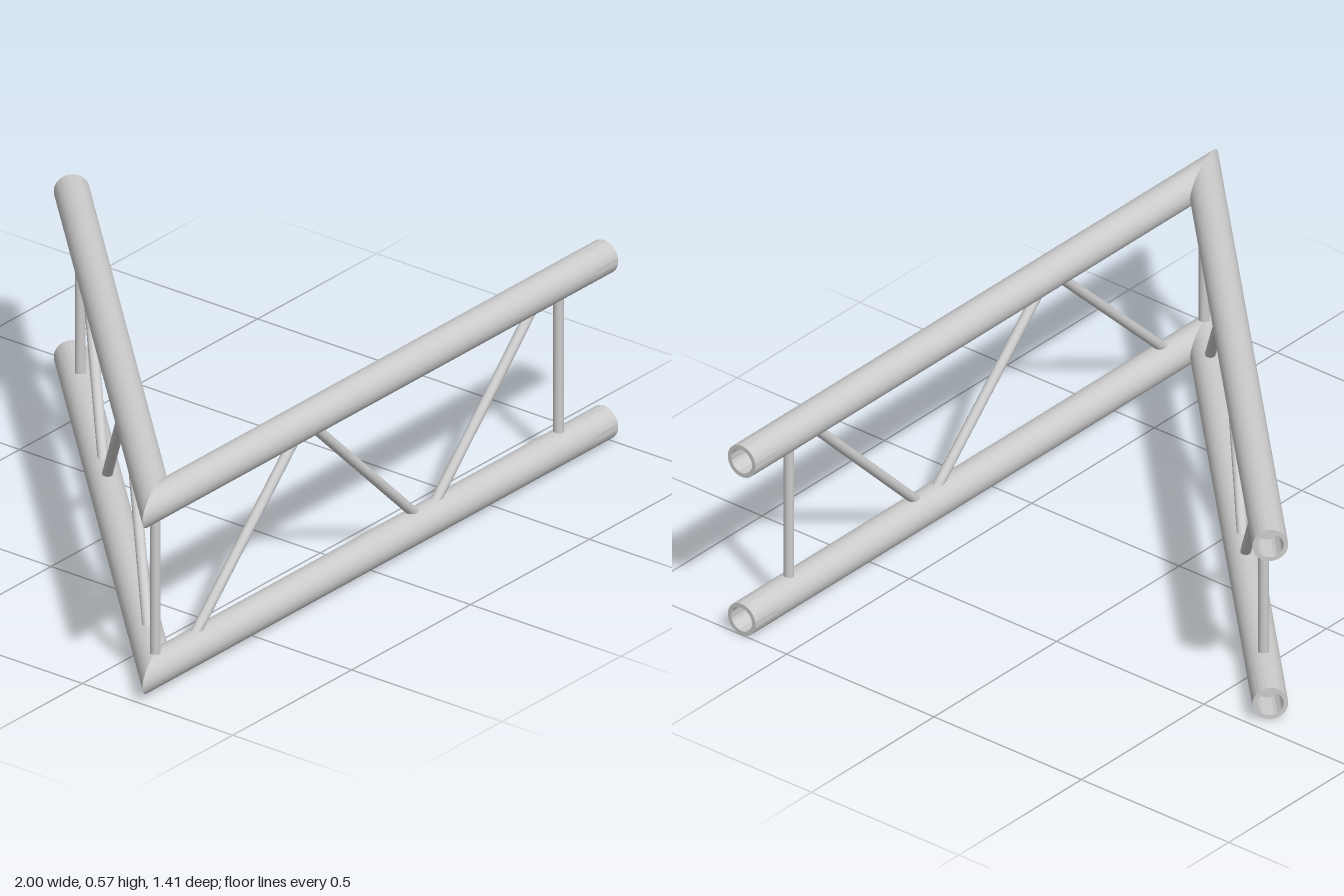
import * as THREE from 'three';
import { toCreasedNormals } from 'three/addons/utils/BufferGeometryUtils.js';

const R = 0.047;            // chord radius
const BORE = 0.035;         // socket radius
const ROD = 0.0142;         // lacing radius
const LOW = 0.047, HIGH = 0.527;
const LENGTH = 1.887, SOCKET = 0.09;
const ANGLE = Math.PI / 4;  // angle between the two arms

const material = new THREE.MeshStandardMaterial({ color: 0xcccccc });

function addMesh(parent, name, geometry) {
  const mesh = new THREE.Mesh(geometry, material);
  mesh.name = name;
  parent.add(mesh);
  return mesh;
}

// Round rod between two points in the arm's vertical plane
function addRod(parent, name, x0, y0, x1, y1) {
  const length = Math.hypot(x1 - x0, y1 - y0);
  const rod = addMesh(parent, name, new THREE.CylinderGeometry(ROD, ROD, length, 20));
  rod.position.set((x0 + x1) / 2, (y0 + y1) / 2, 0);
  rod.rotation.z = -Math.atan2(x1 - x0, y1 - y0);
}

// Chord tube along +x whose start is cut on the mitre plane
function chordGeometry(outer) {
  const length = LENGTH - SOCKET;
  const geometry = new THREE.CylinderGeometry(R, R, length, 40, 1, true);
  geometry.rotateZ(-Math.PI / 2).translate(length / 2, 0, 0);
  const p = geometry.attributes.position;
  for (let i = 0; i < p.count; i++) {
    if (p.getX(i) < length / 2) p.setX(i, -outer * p.getZ(i) / Math.tan(ANGLE / 2));
  }
  return geometry;
}

// Hollow connector sleeve along +x
function sleeveGeometry() {
  const ring = new THREE.Shape().absarc(0, 0, R, 0, Math.PI * 2);
  ring.holes.push(new THREE.Path().absarc(0, 0, BORE, 0, Math.PI * 2, true));
  const geometry = new THREE.ExtrudeGeometry(ring, { depth: SOCKET, bevelEnabled: false, curveSegments: 40 });
  return toCreasedNormals(geometry, 0.6).rotateY(Math.PI / 2);
}

// One ladder arm; outer is the side (+z or -z) of the sharp mitre tip
function createArm(name, outer) {
  const arm = new THREE.Group();
  arm.name = name;
  for (const [level, y] of [['lower', LOW], ['upper', HIGH]]) {
    addMesh(arm, level + 'Chord', chordGeometry(outer)).position.y = y;
    addMesh(arm, level + 'Sleeve', sleeveGeometry()).position.set(LENGTH - SOCKET, y, 0);
    const floor = new THREE.CircleGeometry(R, 40).rotateY(Math.PI / 2);
    addMesh(arm, level + 'SocketFloor', floor).position.set(LENGTH - SOCKET, y, 0);
  }
  addRod(arm, 'endPost', 1.695, LOW, 1.695, HIGH);
  // Zigzag lacing: [x at lower chord, x at upper chord]
  for (const [xLow, xHigh] of [[0.152, 0.602], [1.105, 0.655], [1.162, 1.602]]) {
    addRod(arm, 'diagonal', xLow, 0.07, xHigh, 0.505);
  }
  return arm;
}

export function createModel() {
  const model = new THREE.Group();
  model.name = 'cornerTruss';
  const corner = new THREE.Group();
  corner.name = 'corner';
  corner.position.set(-0.887, 0, 0.653);
  model.add(corner);

  const frontArm = createArm('frontArm', 1);
  const angledArm = createArm('angledArm', -1);
  angledArm.rotation.y = ANGLE;
  corner.add(frontArm, angledArm);
  addRod(corner, 'cornerPost', 0, LOW, 0, HIGH);
  return model;
}
